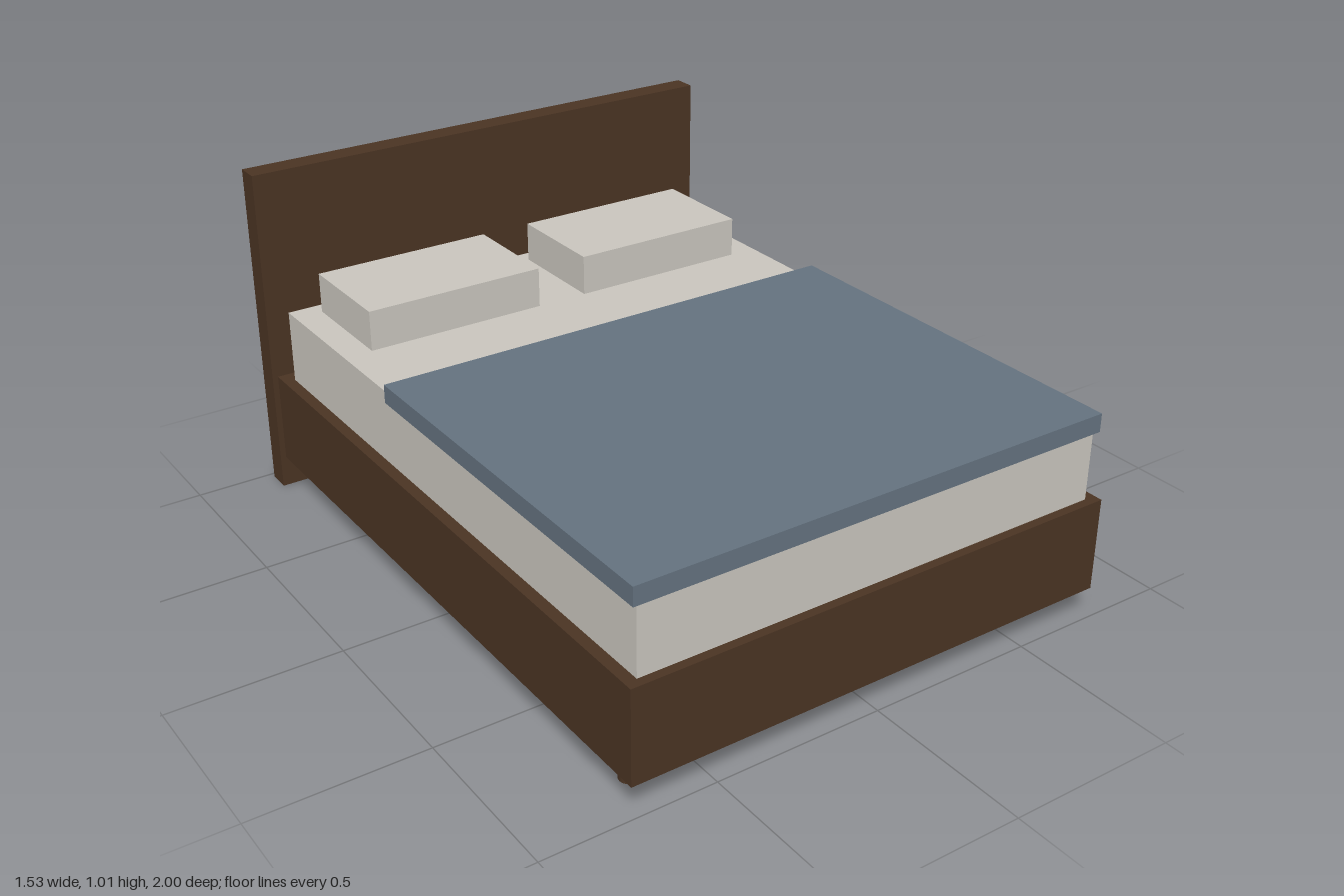
import * as THREE from 'three';

export function createModel() {
  const bed = new THREE.Group();
  bed.name = 'bed';

  const material = (name, color) => {
    const m = new THREE.MeshStandardMaterial({ color });
    m.name = name;
    return m;
  };
  const wood = material('dark wood', 0x4a3423);
  const linen = material('linen', 0xc9c5bd);
  const blue = material('blanket blue', 0x64727f);

  // Box given by its extents on each axis
  const box = (name, mat, [x0, x1], [y0, y1], [z0, z1]) => {
    const mesh = new THREE.Mesh(new THREE.BoxGeometry(x1 - x0, y1 - y0, z1 - z0), mat);
    mesh.position.set((x0 + x1) / 2, (y0 + y1) / 2, (z0 + z1) / 2);
    mesh.name = name;
    bed.add(mesh);
  };

  // Wooden frame and headboard
  box('frame', wood, [-0.747, 0.747], [0.095, 0.37], [-0.91, 1]);
  box('headboard', wood, [-0.764, 0.764], [0, 1.01], [-0.98, -0.91]);

  // Bedding
  box('mattress', linen, [-0.713, 0.713], [0.37, 0.59], [-0.862, 0.974]);
  box('blanket', blue, [-0.728, 0.728], [0.571, 0.625], [-0.212, 0.983]);
  box('leftPillow', linen, [0.078, 0.628], [0.59, 0.71], [-0.815, -0.488]);
  box('rightPillow', linen, [-0.628, -0.078], [0.59, 0.71], [-0.815, -0.488]);

  // Round legs at the four corners
  const legShape = new THREE.CylinderGeometry(0.027, 0.027, 0.095, 16);
  for (const side of [1, -1]) {
    for (const [end, z] of [['front', 0.865], ['back', -0.973]]) {
      const leg = new THREE.Mesh(legShape, wood);
      leg.name = end + (side > 0 ? 'Left' : 'Right') + 'Leg';
      leg.position.set(side * 0.665, 0.0475, z);
      bed.add(leg);
    }
  }
  return bed;
}
